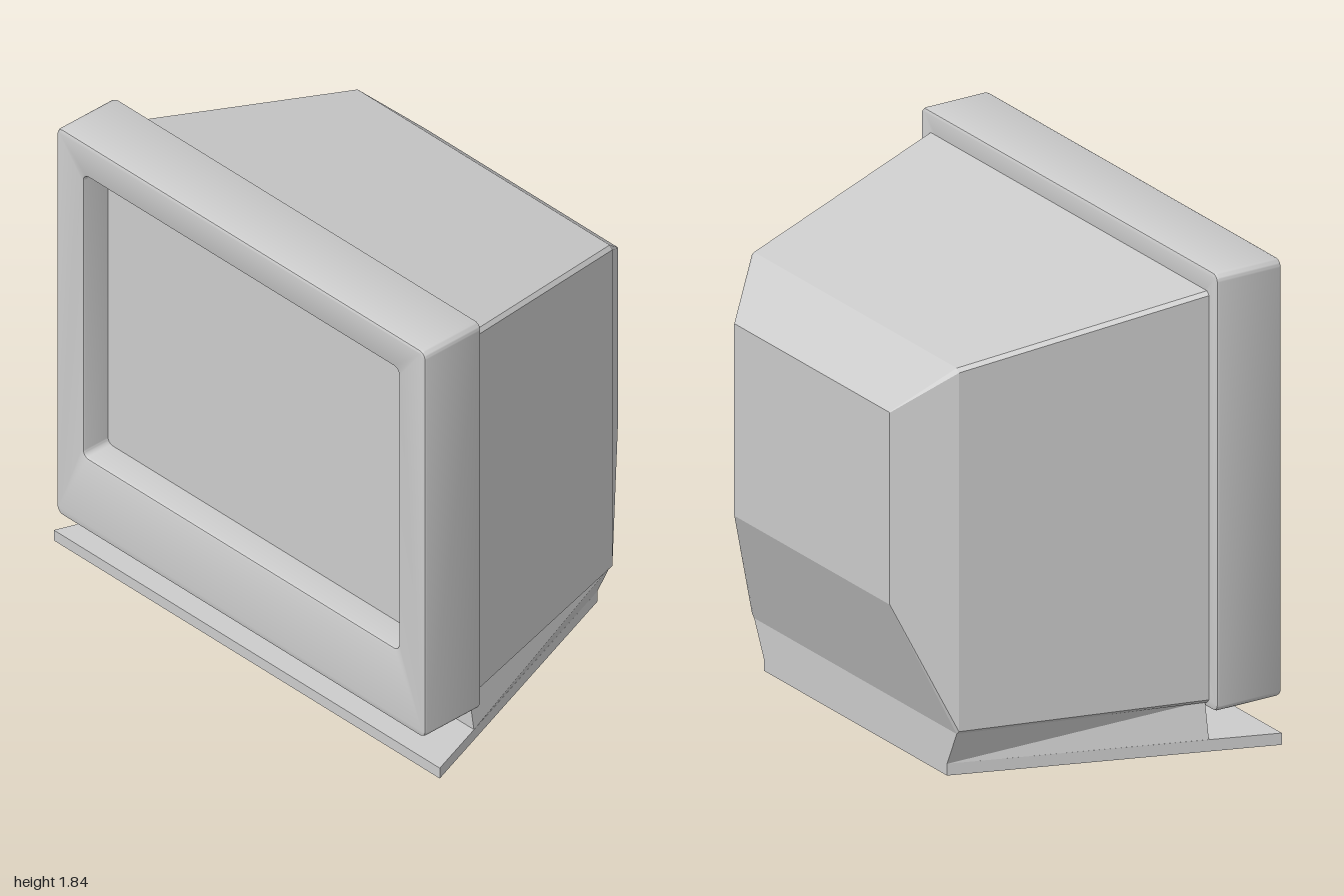
import * as THREE from 'three';
import { toCreasedNormals } from 'three/addons/utils/BufferGeometryUtils.js';

const material = new THREE.MeshStandardMaterial({ color: 0xcccccc });
const flatMaterial = new THREE.MeshStandardMaterial({ color: 0xcccccc, flatShading: true });

// Outline with half widths at bottom and top; cut chamfers the corners
function section(z, y0, y1, halfBottom, halfTop, cut = 0) {
  const right = cut
    ? [[halfBottom - cut, y0], [halfBottom, y0 + cut], [halfTop, y1 - cut], [halfTop - cut, y1]]
    : [[halfBottom, y0], [halfTop, y1]];
  const left = right.map(([x, y]) => [-x, y]).reverse();
  return [...right, ...left].map(([x, y]) => [x, y, z]);
}

// Skins outlines from front to back and caps both ends
function loft(name, sections) {
  const pos = [];
  const tri = (a, b, c) => pos.push(...a, ...b, ...c);
  const n = sections[0].length;
  for (let s = 0; s < sections.length - 1; s++) {
    const f = sections[s], b = sections[s + 1];
    for (let i = 0; i < n; i++) {
      const j = (i + 1) % n;
      tri(f[i], b[i], b[j]);
      tri(f[i], b[j], f[j]);
    }
  }
  const front = sections[0], back = sections[sections.length - 1];
  for (let i = 1; i < n - 1; i++) {
    tri(front[0], front[i], front[i + 1]);
    tri(back[0], back[i + 1], back[i]);
  }
  const geometry = new THREE.BufferGeometry();
  geometry.setAttribute('position', new THREE.Float32BufferAttribute(pos, 3));
  geometry.computeVertexNormals();
  const mesh = new THREE.Mesh(geometry, flatMaterial);
  mesh.name = name;
  return mesh;
}

function roundedRect(path, x, y0, y1, r) {
  path.moveTo(-x + r, y0);
  path.lineTo(x - r, y0);
  path.absarc(x - r, y0 + r, r, -Math.PI / 2, 0);
  path.lineTo(x, y1 - r);
  path.absarc(x - r, y1 - r, r, 0, Math.PI / 2);
  path.lineTo(-x + r, y1);
  path.absarc(-x + r, y1 - r, r, Math.PI / 2, Math.PI);
  path.lineTo(-x, y0 + r);
  path.absarc(-x + r, y0 + r, r, Math.PI, Math.PI * 1.5);
  return path;
}

export function createModel() {
  const model = new THREE.Group();
  model.name = 'monitor';

  // Front frame with the screen opening
  const outline = roundedRect(new THREE.Shape(), 0.955, 0.16, 1.835, 0.03);
  outline.holes.push(roundedRect(new THREE.Path(), 0.815, 0.475, 1.695, 0.025));
  const bevel = 0.012;
  const frameGeometry = new THREE.ExtrudeGeometry(outline, {
    depth: 0.275 - 2 * bevel, curveSegments: 4,
    bevelSize: bevel, bevelThickness: bevel, bevelOffset: -bevel, bevelSegments: 2,
  });
  frameGeometry.translate(0, 0, 0.405 + bevel);
  const frame = new THREE.Mesh(toCreasedNormals(frameGeometry, 0.6), material);
  frame.name = 'frontFrame';
  model.add(frame);

  // Recessed screen
  const screen = new THREE.Mesh(new THREE.BoxGeometry(1.66, 1.25, 0.14), material);
  screen.name = 'screen';
  screen.position.set(0, 1.085, 0.49);
  model.add(screen);

  // Tapered housing with sloped back
  model.add(loft('housing', [
    section(0.42, 0.18, 1.757, 0.908, 0.908, 0.014),
    section(-0.5, 0.18, 1.58, 0.667, 0.667, 0.014),
    section(-0.685, 0.665, 1.4, 0.5, 0.5, 0.002),
  ]));

  // Stand neck, flaring into the housing at the back
  model.add(loft('standNeck', [
    section(0.4, 0.045, 0.185, 0.91, 0.885),
    section(-0.5, 0.045, 0.185, 0.59, 0.655),
  ]));

  // Base plate
  model.add(loft('basePlate', [
    section(0.65, 0, 0.045, 1, 1),
    section(-0.5, 0, 0.045, 0.59, 0.59),
  ]));

  return model;
}
